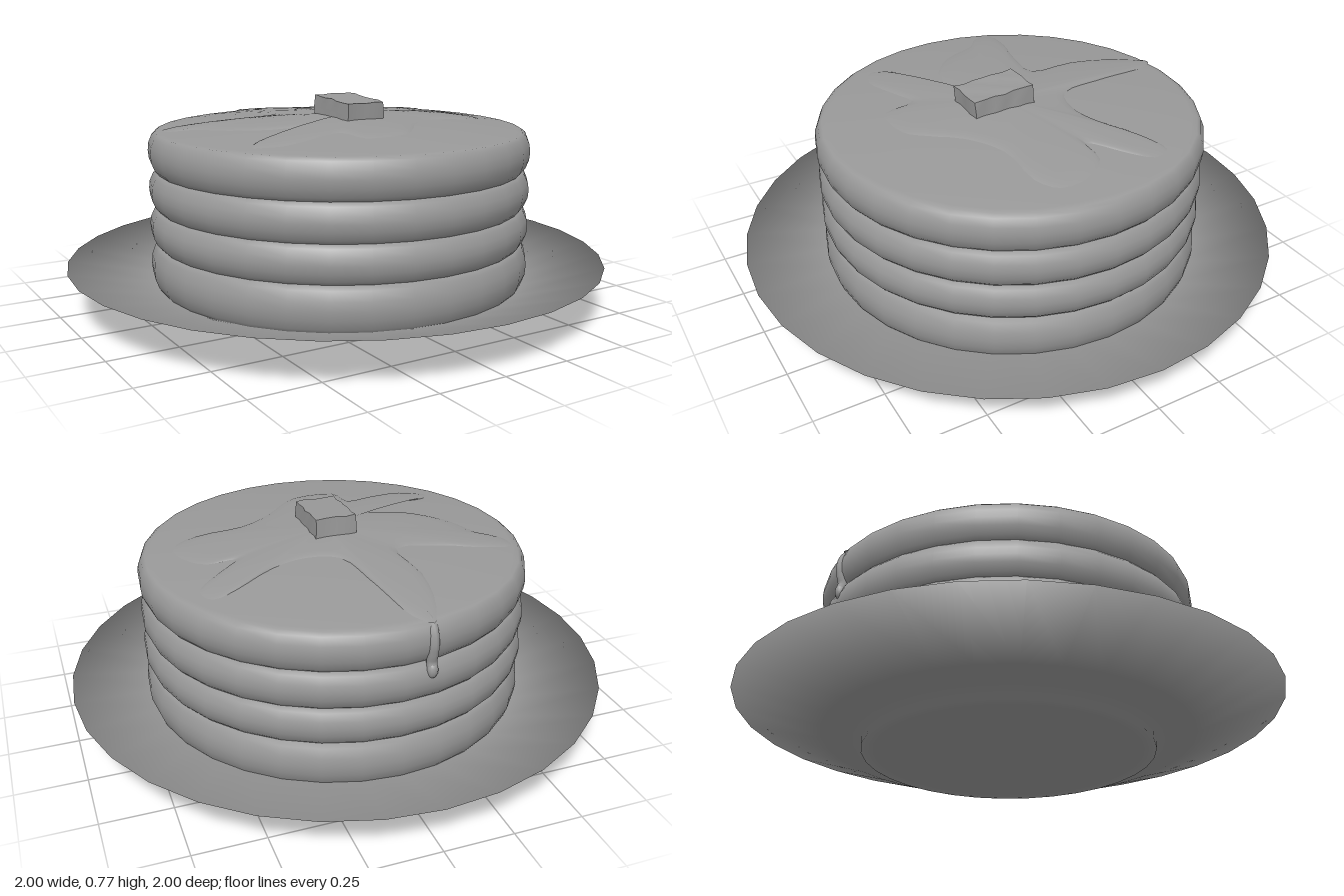
import * as THREE from 'three';

const grey = new THREE.MeshStandardMaterial({ color: 0x999999 });
const greyThin = new THREE.MeshStandardMaterial({ color: 0x999999, side: THREE.DoubleSide });
const STACK_X = 0.015;

// height of the gently domed top pancake at a distance r from its axis
const domeY = (r) => 0.686 - 0.092 * r * r;

function add(parent, name, geometry, material = grey) {
  const mesh = new THREE.Mesh(geometry, material);
  mesh.name = name;
  parent.add(mesh);
  return mesh;
}

// each profile runs so that its right-hand side faces out
function lathe(profile) {
  const geometry = new THREE.LatheGeometry(profile.map(([r, y]) => new THREE.Vector2(r, y)), 32);
  geometry.normalizeNormals();
  return geometry;
}

// one softly shaded shell: base, foot, underside, thin rim and upper face
function plateGeometry() {
  return lathe([
    [0, 0], [0.49, 0], [0.535, 0], [0.535, 0.03], [0.6, 0.034], [0.68, 0.055], [1, 0.165],
    [0.68, 0.075], [0.6, 0.056], [0.5, 0.05], [0, 0.05],
  ]);
}

// rounded edge between two heights, closed by flat or domed faces
function pancakeGeometry(y0, y1, isTop) {
  const h = y1 - y0;
  const edge = [[0, y0], [0.65, y0], [0.682, y0], [0.694, y0 + 0.1 * h], [0.706, y0 + 0.3 * h],
    [0.709, y0 + 0.5 * h], [0.706, y0 + 0.7 * h], [0.694, y0 + 0.9 * h]];
  const top = isTop
    ? [0.68, 0.66, 0.6, 0.45, 0.3, 0.15, 0].map((r) => [r, domeY(r)])
    : [[0.682, y1], [0.65, y1], [0, y1]];
  return lathe([...edge, ...top]);
}

// syrup pool: an outline shrunk ring by ring towards its middle and laid on the dome
function syrupGeometry() {
  const outline = [
    [-0.08, -0.69], [-0.03, -0.64], [0, -0.5], [0.02, -0.38], [0.06, -0.21], [0.17, -0.17], [0.3, -0.2],
    [0.45, -0.29], [0.54, -0.32], [0.57, -0.25], [0.5, -0.17], [0.4, -0.08], [0.5, -0.07], [0.57, 0.02],
    [0.58, 0.13], [0.5, 0.185], [0.32, 0.19], [0.18, 0.27], [0.09, 0.37], [0.02, 0.43], [-0.14, 0.43],
    [-0.165, 0.31], [-0.28, 0.34], [-0.42, 0.37], [-0.51, 0.33], [-0.48, 0.28], [-0.34, 0.24], [-0.19, 0.16],
    [-0.33, 0.12], [-0.45, 0.02], [-0.52, -0.12], [-0.595, -0.18], [-0.6, -0.25], [-0.46, -0.245],
    [-0.33, -0.21], [-0.16, -0.2], [-0.17, -0.4], [-0.13, -0.6],
  ];
  const curve = new THREE.CatmullRomCurve3(outline.map(([x, z]) => new THREE.Vector3(x, 0, z)), true, 'centripetal');
  const pts = curve.getPoints(114).slice(0, -1);
  const n = pts.length;
  const [cx, cz] = [0.03, 0.03];
  // scale of each ring and its height above the pancake
  const rings = [[0.01, 0.013], [0.25, 0.012], [0.5, 0.01], [0.7, 0.008], [0.85, 0.006], [0.95, 0.004], [1, -0.001]];
  const position = [];
  const index = [];
  rings.forEach(([s, lift], k) => {
    pts.forEach((p, i) => {
      const x = cx + (p.x - cx) * s;
      const z = cz + (p.z - cz) * s;
      position.push(x, domeY(Math.hypot(x - STACK_X, z)) + lift, z);
      if (k === 0) return;
      const j = (i + 1) % n;
      const a = (k - 1) * n;
      const b = k * n;
      index.push(a + i, b + j, b + i, a + i, a + j, b + j);
    });
  });
  const geometry = new THREE.BufferGeometry();
  geometry.setAttribute('position', new THREE.Float32BufferAttribute(position, 3));
  geometry.setIndex(index);
  geometry.computeVertexNormals();
  return geometry;
}

// a thin run of syrup over the back edge, ending in a drop
function makeDrip() {
  const drip = new THREE.Group();
  drip.name = 'syrupDrip';
  const path = new THREE.CatmullRomCurve3([[0.63, 0.636], [0.665, 0.628], [0.685, 0.607], [0.694, 0.57],
    [0.689, 0.53], [0.683, 0.502], [0.69, 0.475]].map(([r, y]) => new THREE.Vector3(-0.08, y, -r)));
  add(drip, 'dripRun', new THREE.TubeGeometry(path, 20, 0.019, 8));
  const drop = add(drip, 'dripDrop', new THREE.SphereGeometry(0.02, 12, 8));
  drop.scale.y = 1.5;
  drop.position.set(-0.08, 0.472, -0.69);
  return drip;
}

// butter pat: a slightly uneven block
function butterGeometry() {
  const geometry = new THREE.BoxGeometry(0.155, 0.085, 0.235, 4, 2, 6);
  const p = geometry.attributes.position;
  for (let i = 0; i < p.count; i++) {
    const [x, y, z] = [p.getX(i), p.getY(i), p.getZ(i)];
    const wobble = 0.003 * Math.sin(70 * z + 40 * y);
    p.setXYZ(i, x * (1 - 0.5 * y) + wobble, y + 0.002 * Math.sin(60 * x + 45 * z), z + 0.003 * Math.sin(55 * x));
  }
  geometry.computeVertexNormals();
  return geometry;
}

export function createModel() {
  const model = new THREE.Group();
  model.name = 'pancakePlate';
  add(model, 'plate', plateGeometry());

  // four stacked pancakes
  const levels = [0.07, 0.232, 0.366, 0.502, 0.647];
  for (let i = 0; i < 4; i++) {
    const pancake = add(model, `pancake${i + 1}`, pancakeGeometry(levels[i], levels[i + 1], i === 3));
    pancake.position.x = STACK_X;
  }

  add(model, 'syrup', syrupGeometry(), greyThin);
  model.add(makeDrip());

  const butter = add(model, 'butter', butterGeometry());
  butter.position.set(0.017, 0.717, 0.065);
  butter.rotation.x = 0.06;
  return model;
}
